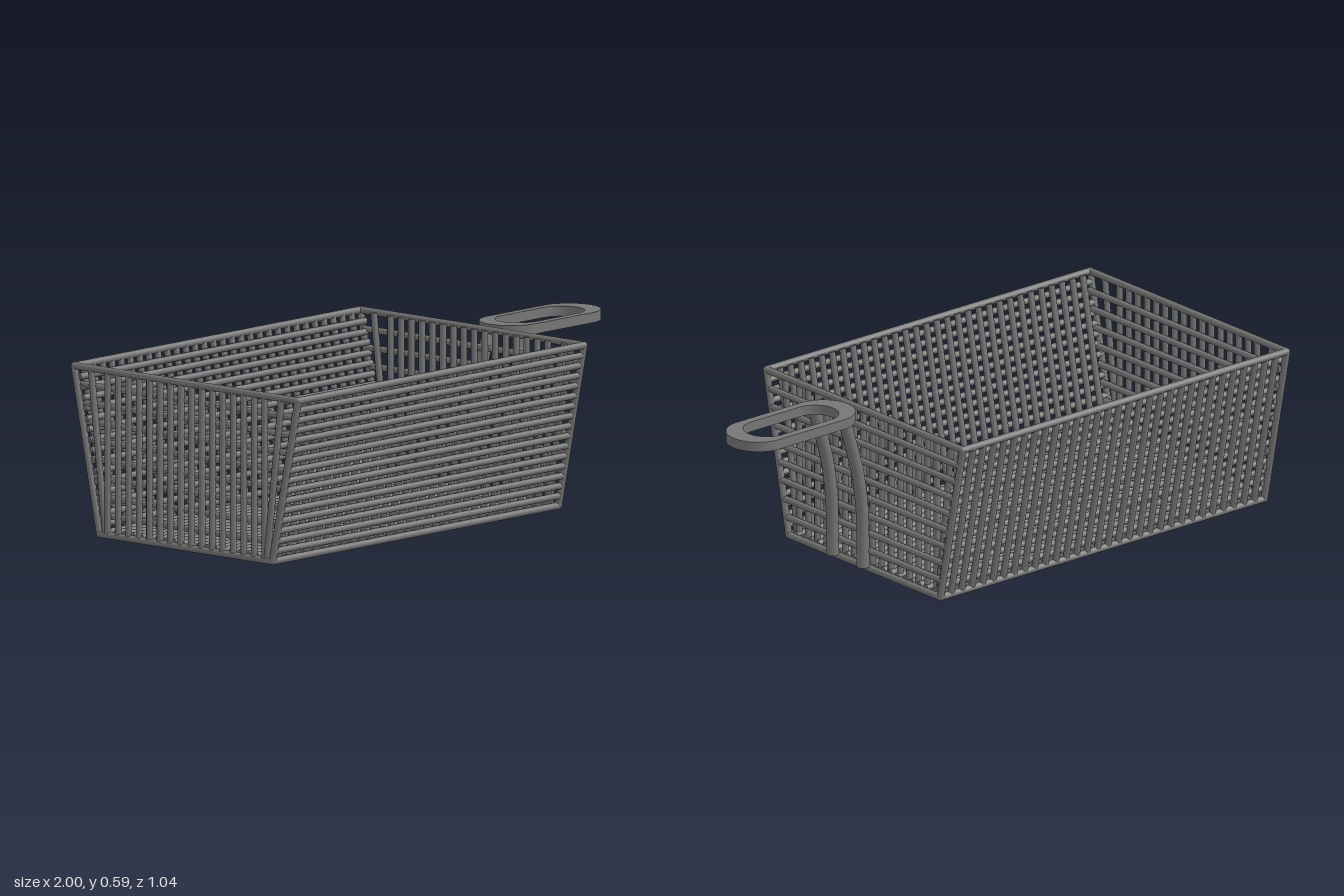
import * as THREE from 'three';
import { mergeGeometries } from 'three/addons/utils/BufferGeometryUtils.js';

const X0 = -0.987, X1 = 0.461;      // end walls
const Y0 = 0.013, Y1 = 0.579;       // floor and rim
const Z0 = 0.394, Z1 = 0.51;        // half depth at floor and rim
const R = 0.0115;                   // wire radius
const LAYER = 0.015;                // offset between crossing wires
const material = new THREE.MeshStandardMaterial({ color: 0x767676 });

const V = (x, y, z) => new THREE.Vector3(x, y, z);
const lerp = THREE.MathUtils.lerp;
const halfDepth = (y) => lerp(Z0, Z1, (y - Y0) / (Y1 - Y0));

// Straight wire from a to b
function wire(a, b, r = R) {
  const d = b.clone().sub(a);
  const g = new THREE.CylinderGeometry(r, r, d.length(), 10);
  g.applyQuaternion(new THREE.Quaternion().setFromUnitVectors(V(0, 1, 0), d.normalize()));
  const m = a.clone().add(b).multiplyScalar(0.5);
  return g.translate(m.x, m.y, m.z);
}

function addPart(parent, name, geometries) {
  const mesh = new THREE.Mesh(mergeGeometries(geometries), material);
  mesh.name = name;
  parent.add(mesh);
}

// Rim, floor border and corner posts with rounded joints
function frame() {
  const parts = [], r = 0.0125;
  const ring = (y, z) => [V(X0, y, z), V(X1, y, z), V(X1, y, -z), V(X0, y, -z)];
  const low = ring(Y0, Z0), high = ring(Y1, Z1);
  for (let i = 0; i < 4; i++) {
    const j = (i + 1) % 4;
    parts.push(wire(low[i], low[j], r), wire(high[i], high[j], r), wire(low[i], high[i], r));
    for (const p of [low[i], high[i]]) parts.push(new THREE.SphereGeometry(r, 10, 8).translate(p.x, p.y, p.z));
  }
  return parts;
}

// Sloping long wall on side s; each wire layer has its own inset
function longWall(s, levelInset, uprightInset) {
  const parts = [], rows = 16, cols = 31;
  for (let i = 1; i < rows; i++) {
    const y = lerp(Y0, Y1, i / rows), z = s * (halfDepth(y) - levelInset);
    parts.push(wire(V(X0, y, z), V(X1, y, z)));
  }
  for (let i = 1; i < cols; i++) {
    const x = lerp(X0, X1, i / cols);
    parts.push(wire(V(x, Y0, s * (Z0 - uprightInset)), V(x, Y1, s * (Z1 - uprightInset))));
  }
  return parts;
}

// Vertical end wall with level wires at xLevel and upright wires at xUpright
function endWall(xLevel, xUpright) {
  const parts = [], rows = 9;
  for (let i = 1; i < rows; i++) {
    const y = lerp(Y0, Y1, i / rows), z = halfDepth(y);
    parts.push(wire(V(xLevel, y, -z), V(xLevel, y, z)));
  }
  for (let i = 0; i < 16; i++) {
    const z = lerp(-0.358, 0.358, i / 15);
    parts.push(wire(V(xUpright, Y0, z), V(xUpright, Y1, z)));
  }
  for (const k of [-1, 1]) parts.push(wire(V(xUpright, Y0, k * 0.368), V(xUpright, Y1, k * 0.434)));
  return parts;
}

// Floor mesh: lengthwise wires lie over the crosswise ones
function floor() {
  const parts = [], rows = 21, cols = 31;
  for (let i = 1; i < rows; i++) {
    const z = lerp(-Z0, Z0, i / rows);
    parts.push(wire(V(X0, Y0 + 0.012, z), V(X1, Y0 + 0.012, z)));
  }
  for (let i = 1; i < cols; i++) {
    const x = lerp(X0, X1, i / cols);
    parts.push(wire(V(x, Y0, -Z0), V(x, Y0, Z0)));
  }
  return parts;
}

// Rounded-end slot outline
function slot(path, x0, x1, r) {
  path.moveTo(x0 + r, -r);
  path.lineTo(x1 - r, -r);
  path.absarc(x1 - r, 0, r, -Math.PI / 2, Math.PI / 2, false);
  path.lineTo(x0 + r, r);
  path.absarc(x0 + r, 0, r, Math.PI / 2, Math.PI * 1.5, false);
  return path;
}

function handle() {
  const group = new THREE.Group();
  group.name = 'handle';
  const zc = 0.055;

  // Flat grip loop
  const shape = slot(new THREE.Shape(), 0.49, 1.0, 0.11);
  shape.holes.push(slot(new THREE.Path(), 0.555, 0.932, 0.08));
  const grip = new THREE.ExtrudeGeometry(shape, { depth: 0.035, bevelEnabled: false, curveSegments: 20 });
  grip.rotateX(-Math.PI / 2).translate(0, 0.558, zc);
  addPart(group, 'grip', [grip]);

  // Bent support bars, capped at the foot
  for (const [name, z] of [['frontSupport', 0.145], ['backSupport', -0.013]]) {
    const curve = new THREE.CatmullRomCurve3([
      V(0.48, 0.02, z), V(0.48, 0.12, z), V(0.483, 0.22, z),
      V(0.503, 0.36, z), V(0.53, 0.46, z), V(0.563, 0.565, z),
    ]);
    addPart(group, name, [
      new THREE.TubeGeometry(curve, 24, 0.022, 14, false),
      new THREE.CircleGeometry(0.022, 14).rotateX(Math.PI / 2).translate(0.48, 0.02, z),
    ]);
  }
  return group;
}

export function createModel() {
  const model = new THREE.Group();
  model.name = 'wireBasket';
  addPart(model, 'frame', frame());
  // Level wires face +z and +x on every wall
  addPart(model, 'frontWall', longWall(1, 0, LAYER));
  addPart(model, 'backWall', longWall(-1, LAYER, 0));
  addPart(model, 'leftEndWall', endWall(X1, X1 - LAYER));
  addPart(model, 'rightEndWall', endWall(X0 + LAYER, X0));
  addPart(model, 'floor', floor());
  model.add(handle());
  return model;
}
